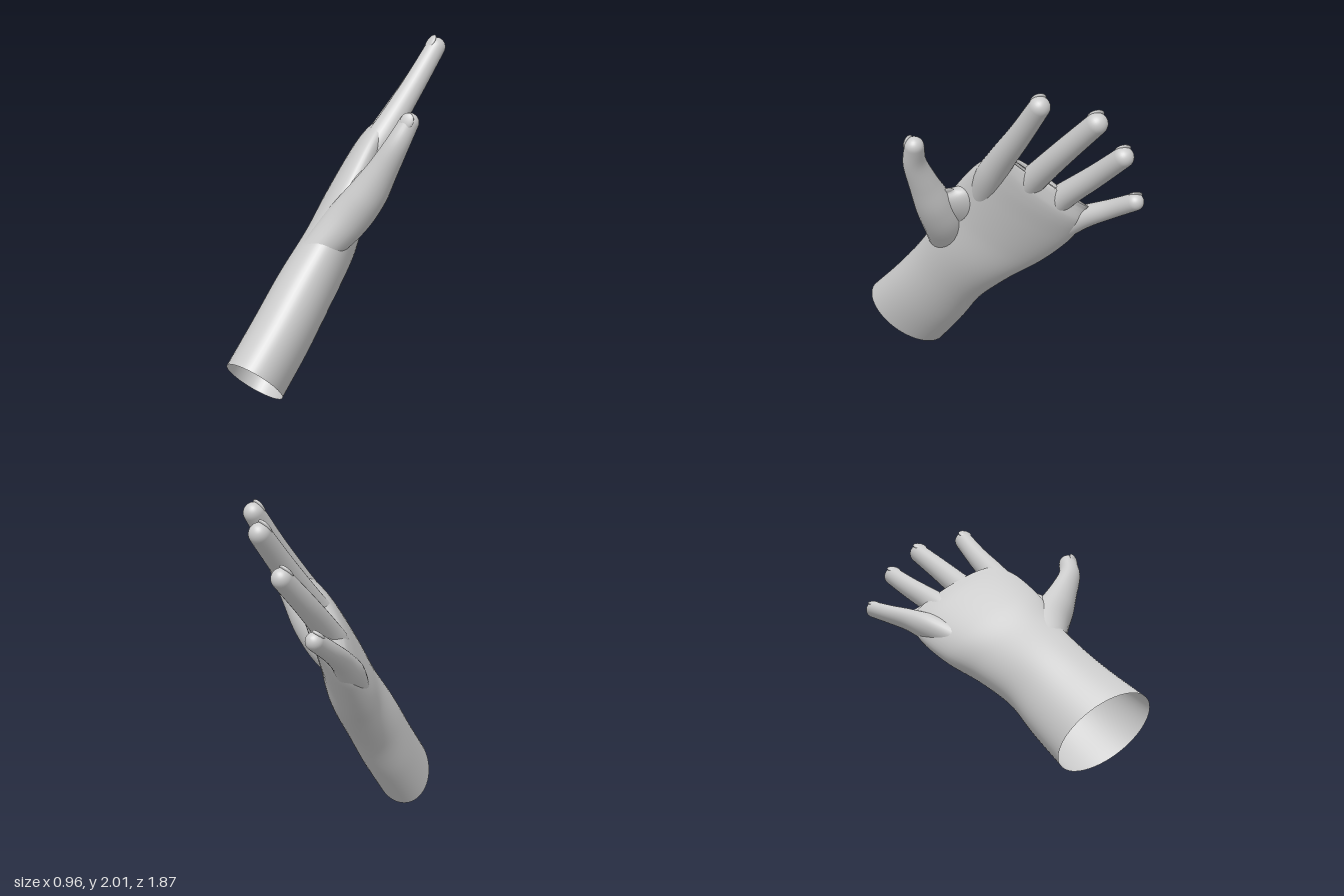
import * as THREE from 'three';

const V = (x, y, z) => new THREE.Vector3(x, y, z);
const material = new THREE.MeshStandardMaterial({ color: 0xcccccc, side: THREE.DoubleSide });

// Point in forearm coordinates: s along the arm, n above its axis, x sideways
const at = (s, n, x) => V(x, 0.18 + Math.SQRT1_2 * (s + n), 0.76 + Math.SQRT1_2 * (n - s));

// Side and dorsal directions of a section, square to the path direction
function frame(t, dorsal) {
  const side = V().crossVectors(t, dorsal).normalize();
  return { side, up: V().crossVectors(side, t).normalize() };
}

// Smooth skin over elliptical sections; shape = (half width, half thickness, slant)
function loft(name, centres, shapes, dorsal0, dorsal1, steps, sides, domed) {
  const path = new THREE.CatmullRomCurve3(centres, false, 'catmullrom');
  const size = new THREE.CatmullRomCurve3(shapes, false, 'catmullrom');
  const positions = [], index = [];
  let rings = 0;

  const addRing = (c, t, shape, dorsal) => {
    const { side, up } = frame(t, dorsal);
    for (let j = 0; j < sides; j++) {
      const a = (j / sides) * Math.PI * 2;
      const p = c.clone()
        .addScaledVector(side, shape.x * Math.cos(a))
        .addScaledVector(up, shape.y * Math.sin(a))
        .addScaledVector(t, shape.z * Math.cos(a));
      positions.push(p.x, p.y, p.z);
    }
    rings++;
  };

  for (let i = 0; i <= steps; i++) {
    const u = i / steps;
    addRing(path.getPoint(u), path.getTangent(u), size.getPoint(u), dorsal0.clone().lerp(dorsal1, u));
  }
  // Rounded fingertip
  if (domed) {
    const c = path.getPoint(1), t = path.getTangent(1), r = size.getPoint(1);
    for (let k = 1; k <= 8; k++) {
      const a = (k / 8) * Math.PI / 2;
      const f = Math.max(Math.cos(a), 0.001);
      addRing(c.clone().addScaledVector(t, r.x * Math.sin(a)), t, V(r.x * f, r.y * f, 0), dorsal1);
    }
  }
  for (let i = 0; i < rings - 1; i++) {
    for (let j = 0; j < sides; j++) {
      const a = i * sides + j, c = i * sides + (j + 1) % sides;
      index.push(a, a + sides, c, c, a + sides, c + sides);
    }
  }
  const geometry = new THREE.BufferGeometry();
  geometry.setAttribute('position', new THREE.Float32BufferAttribute(positions, 3));
  geometry.setIndex(index);
  geometry.computeVertexNormals();
  const mesh = new THREE.Mesh(geometry, material);
  mesh.name = name;
  return mesh;
}

// Finger: tapering round skin with a nail set into the back of its tip
function finger(name, centres, radii, dorsal) {
  const group = new THREE.Group();
  group.name = name;
  group.add(loft(name + 'Skin', centres, radii.map(r => V(r, r, 0)), dorsal, dorsal, 28, 28, true));

  const t = new THREE.CatmullRomCurve3(centres, false, 'catmullrom').getTangent(1);
  const { side, up } = frame(t, dorsal);
  const r = radii[radii.length - 1];
  const nail = new THREE.Mesh(new THREE.SphereGeometry(1, 20, 12), material);
  nail.name = name + 'Nail';
  nail.quaternion.setFromRotationMatrix(new THREE.Matrix4().makeBasis(side, t, up));
  nail.scale.set(r * 0.72, r * 0.85, r * 0.26);
  nail.position.copy(centres[centres.length - 1]).addScaledVector(up, r * 0.78).addScaledVector(t, r * 0.1);
  group.add(nail);
  return group;
}

export function createModel() {
  const hand = new THREE.Group();
  hand.name = 'hand';

  // Open-ended forearm widening into the palm: s, n, x, half width, half thickness, slant
  const sections = [
    [0, 0, -0.07, 0.285, 0.18, 0],
    [0.3, 0.002, -0.074, 0.27, 0.18, 0],
    [0.6, 0.016, -0.078, 0.257, 0.175, 0],
    [0.9, 0.016, -0.088, 0.285, 0.16, 0],
    [1.15, 0.028, -0.122, 0.345, 0.137, 0],
    [1.4, 0.035, -0.15, 0.365, 0.115, 0.02],
    [1.55, 0.035, -0.163, 0.35, 0.1, 0.03],
    [1.63, 0.033, -0.165, 0.325, 0.078, 0.035],
    [1.68, 0.03, -0.165, 0.29, 0.035, 0.035],
    [1.69, 0.03, -0.165, 0.27, 0.002, 0.035],
  ];
  hand.add(loft('forearmAndPalm',
    sections.map(k => at(k[0], k[1], k[2])), sections.map(k => V(k[3], k[4], k[5])),
    V(-0.82, 0.41, 0.41), V(-0.72, 0.49, 0.49), 72, 56, false));

  // Four fingers from inside the palm to the tip: s, n, x, radius
  const fingers = {
    indexFinger: [[1.25, 0.17, -0.01, 0.07], [1.5, 0.22, 0.03, 0.086], [1.7, 0.238, 0.055, 0.077],
      [1.95, 0.252, 0.075, 0.066], [2.206, 0.275, 0.095, 0.058]],
    middleFinger: [[1.25, 0.07, -0.11, 0.07], [1.52, 0.087, -0.12, 0.088], [1.7, 0.085, -0.112, 0.077],
      [2, 0.075, -0.1, 0.068], [2.31, 0.064, -0.1, 0.06]],
    ringFinger: [[1.25, -0.03, -0.21, 0.07], [1.5, -0.05, -0.247, 0.086], [1.68, -0.062, -0.265, 0.073],
      [1.93, -0.09, -0.275, 0.064], [2.196, -0.117, -0.265, 0.057]],
    littleFinger: [[1.15, -0.11, -0.27, 0.07], [1.4, -0.155, -0.345, 0.082], [1.58, -0.195, -0.39, 0.066],
      [1.76, -0.25, -0.425, 0.055], [1.944, -0.304, -0.43, 0.05]],
  };
  for (const [name, keys] of Object.entries(fingers)) {
    hand.add(finger(name, keys.map(k => at(k[0], k[1], k[2])), keys.map(k => k[3]), V(-0.35, 0.75, 0.55)));
  }

  // Thumb with its fleshy base
  hand.add(finger('thumb',
    [V(-0.02, 0.85, 0.3), V(0.1, 1.04, 0.175), V(0.21, 1.2, 0.125), V(0.305, 1.36, 0.1),
      V(0.385, 1.51, 0.075), V(0.425, 1.63, 0.025)],
    [0.1, 0.122, 0.112, 0.086, 0.067, 0.055], V(0.3, 0.35, 0.85)));

  // Skin web between thumb and index finger
  hand.add(loft('thumbWeb',
    [V(0.0, 1.12, 0.08), V(0.09, 1.21, 0.05), V(0.15, 1.27, 0.04), V(0.175, 1.3, 0.035)],
    [V(0.15, 0.1, 0), V(0.13, 0.08, 0), V(0.09, 0.05, 0), V(0.03, 0.01, 0)],
    V(-0.6, 0.4, 0.7), V(-0.6, 0.4, 0.7), 14, 28, true));

  return hand;
}
